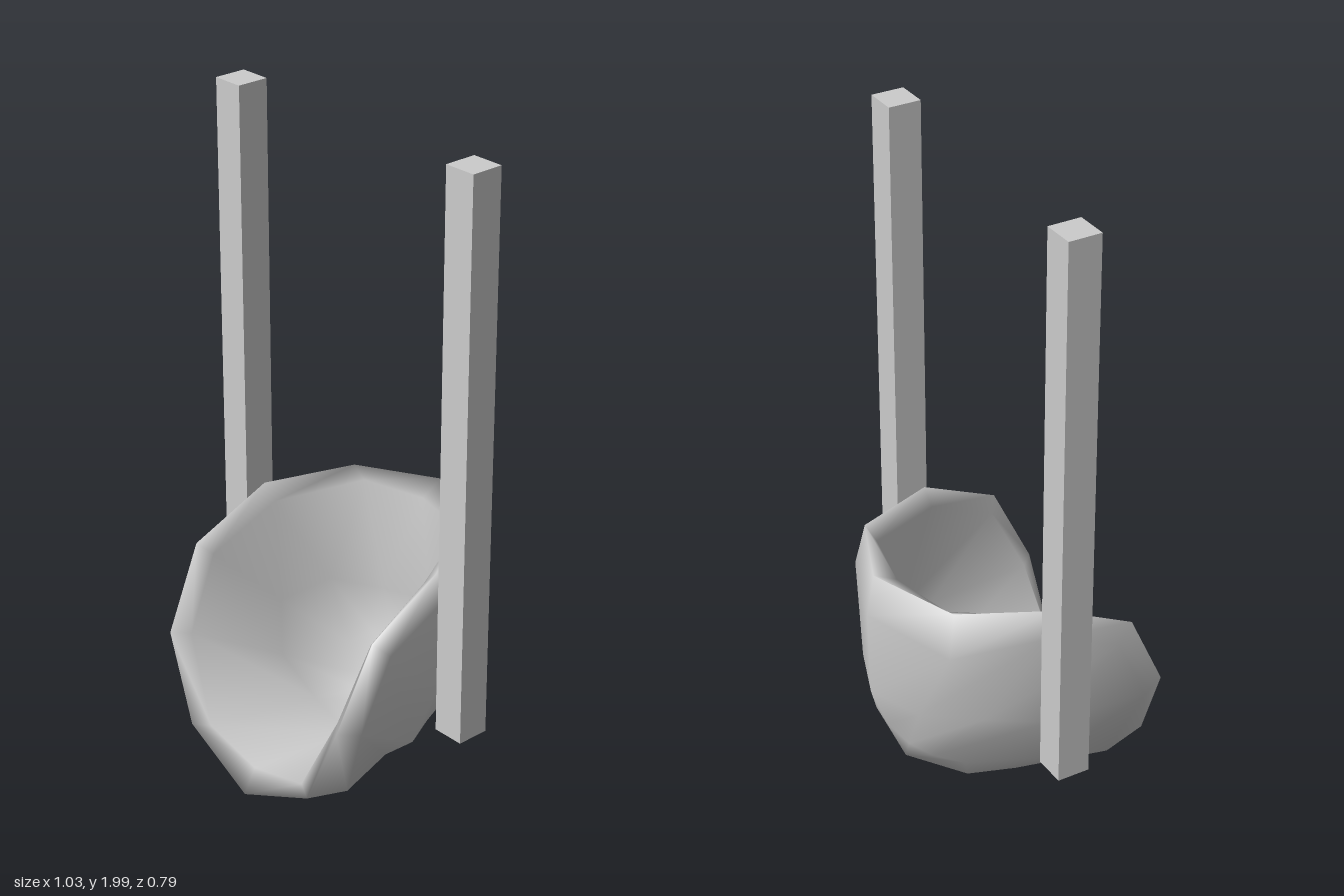
import * as THREE from 'three';

// Rings of the bowl from outer pole, over the rim, to inner pole.
// Each point is [side x, distance along the rim plane, height along the opening axis];
// four points describe a quarter ring that is mirrored to twelve.
const outerCap = [[0, 0.14, -0.338], [0.1, 0.12, -0.335], [0.17, 0.08, -0.315], [0.21, 0, -0.28]];
const outerSide = [[0, 0.276, -0.276], [0.17, 0.23, -0.23], [0.315, 0.16, -0.12], [0.37, 0, -0.02]];
const shrink = (ring, s) => ring.map((p) => p.map((c) => c * s));
const rings = [
  outerCap,
  outerSide,
  [[0, 0.47, -0.088], [0.28, 0.378, -0.025], [0.395, 0.226, 0.198], [0.405, 0, 0.283]],
  [[0, 0.545, 0.02], [0.26, 0.456, 0.088], [0.37, 0.262, 0.262], [0.385, 0, 0.355]],
  [[0, 0.465, 0.045], [0.205, 0.43, 0.075], [0.325, 0.23, 0.23], [0.345, 0, 0.31]],
  shrink(outerSide, 0.85),
  shrink(outerCap, 0.85),
];

// Tilts a point so the bowl opens forwards and upwards
function place(x, w, u) {
  return [x, 0.4 + (u + w) * Math.SQRT1_2, (u - w) * Math.SQRT1_2];
}

function bowlGeometry() {
  const n = 12;
  const positions = [];
  const index = [];
  for (const ring of rings) {
    for (let j = 0; j < n; j++) {
      const half = j <= 6 ? j : n - j;
      const [x, v, u] = ring[half <= 3 ? half : 6 - half];
      positions.push(...place(j <= 6 ? x : -x, half <= 3 ? -v : v, u));
    }
  }
  const outerPole = rings.length * n;
  const innerPole = outerPole + 1;
  positions.push(...place(0, 0, -0.396), ...place(0, 0, -0.335));
  const last = (rings.length - 1) * n;
  for (let j = 0; j < n; j++) {
    const k = (j + 1) % n;
    index.push(outerPole, k, j, innerPole, last + j, last + k);
    for (let i = 0; i < last; i += n) {
      index.push(i + j, i + k, i + n + k, i + j, i + n + k, i + n + j);
    }
  }
  const geometry = new THREE.BufferGeometry();
  geometry.setAttribute('position', new THREE.Float32BufferAttribute(positions, 3));
  geometry.setIndex(index);
  geometry.computeVertexNormals();
  return geometry;
}

export function createModel() {
  const group = new THREE.Group();
  group.name = 'bucketSwing';
  const grey = new THREE.MeshStandardMaterial({ color: 0xcccccc });
  grey.name = 'light grey';

  // Scooped seat with a rolled rim
  const seat = new THREE.Mesh(bowlGeometry(), grey);
  seat.name = 'seat';
  group.add(seat);

  // Square hanging bars on both sides
  for (const side of [1, -1]) {
    const bar = new THREE.Mesh(new THREE.BoxGeometry(0.1, 1.705, 0.1), grey);
    bar.name = side > 0 ? 'leftBar' : 'rightBar';
    bar.position.set(side * 0.464, 1.1475, -0.018);
    group.add(bar);
  }
  return group;
}
